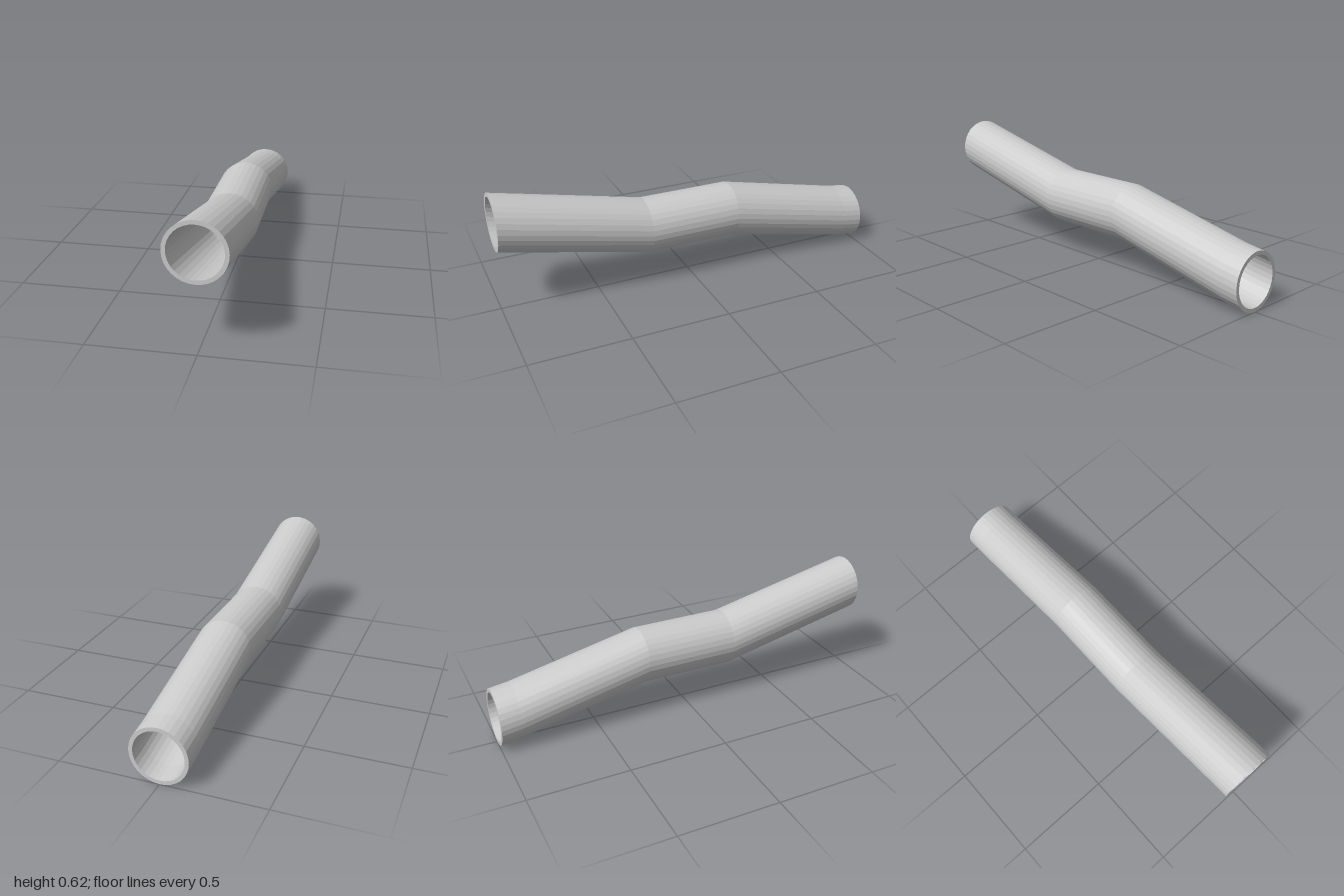
import * as THREE from 'three';

// Ring centres along the pipe, back to front: [z, y]
const STATIONS = [[-1, 0.142], [-0.9, 0.156], [-0.235, 0.304], [0.24, 0.304], [1, 0.474]];
const OUTER = 0.142;
const INNER = 0.123;

export function createModel() {
  const group = new THREE.Group();
  group.name = 'bentPipe';

  // Annular section, 32 sides
  const section = new THREE.Shape();
  section.absarc(0, 0, OUTER, 0, Math.PI * 2, false);
  const bore = new THREE.Path();
  bore.absarc(0, 0, INNER, 0, Math.PI * 2, true);
  section.holes.push(bore);

  const steps = STATIONS.length - 1;
  const geometry = new THREE.ExtrudeGeometry(section, {
    depth: steps, steps, curveSegments: 16, bevelEnabled: false,
  });

  // Move each upright ring to its station, giving the sheared bends
  const pos = geometry.attributes.position;
  for (let i = 0; i < pos.count; i++) {
    const [z, y] = STATIONS[Math.round(pos.getZ(i))];
    pos.setY(i, pos.getY(i) + y);
    pos.setZ(i, z);
  }
  geometry.computeVertexNormals();

  const pipe = new THREE.Mesh(
    geometry,
    new THREE.MeshStandardMaterial({ color: 0xcccccc, flatShading: true }),
  );
  pipe.name = 'pipe';
  group.add(pipe);
  return group;
}
